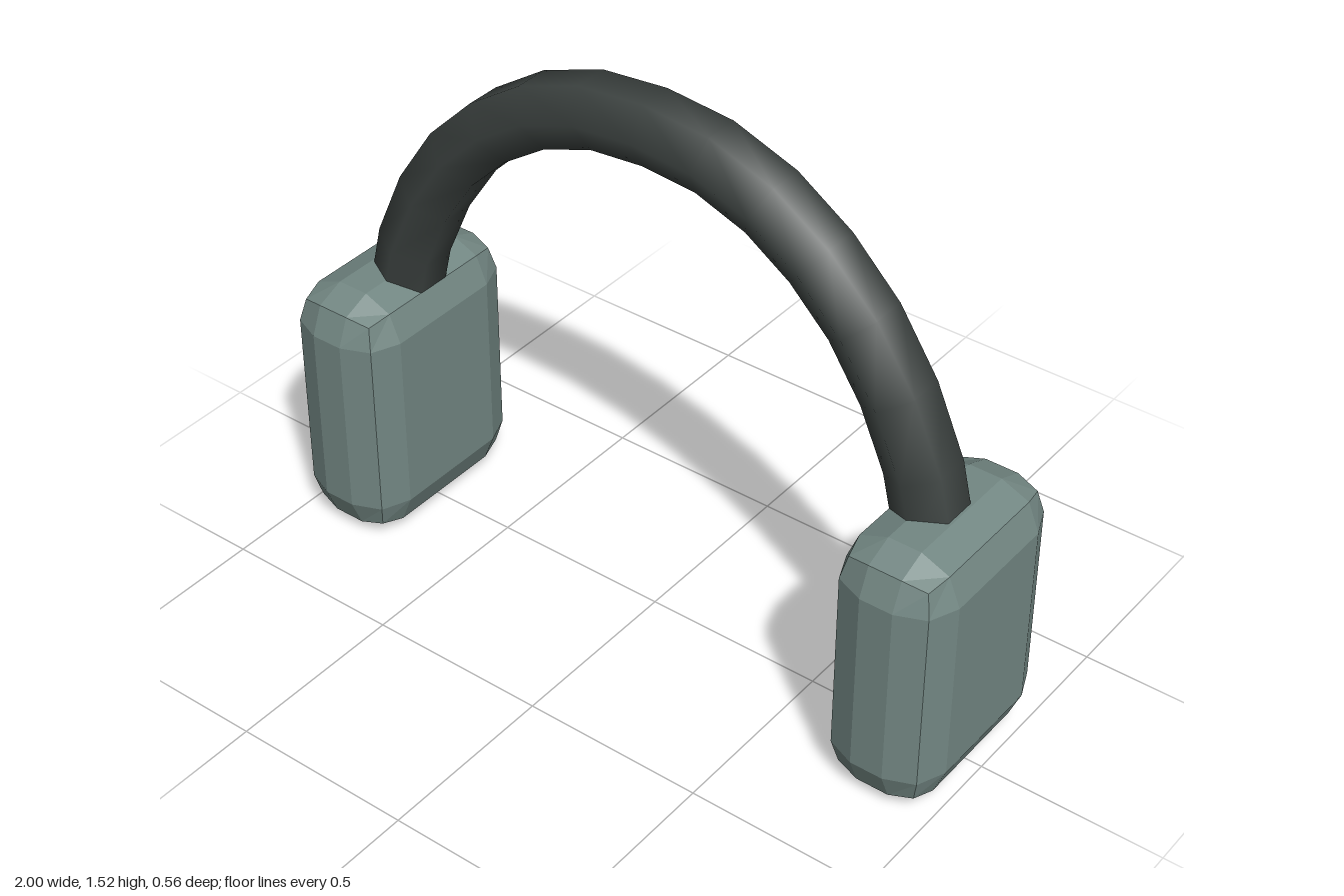
import * as THREE from 'three';
import { RoundedBoxGeometry } from 'three/addons/geometries/RoundedBoxGeometry.js';

export function createModel() {
  const model = new THREE.Group();
  model.name = 'headphones';
  const cupMaterial = new THREE.MeshStandardMaterial({ color: 0x738783, flatShading: true });
  const bandMaterial = new THREE.MeshStandardMaterial({ color: 0x3c4240, side: THREE.DoubleSide });

  // Ear cups: chamfered blocks, one on each side
  const cupGeometry = new RoundedBoxGeometry(0.31, 0.73, 0.56, 1, 0.11);
  for (const [name, side] of [['leftEarCup', 1], ['rightEarCup', -1]]) {
    const cup = new THREE.Mesh(cupGeometry, cupMaterial);
    cup.name = name;
    cup.position.set(side * 0.845, 0.365, 0);
    model.add(cup);
  }

  // Headband: half of the arch from the crown down into a cup, then mirrored
  const half = [
    [0, 1.4375], [0.171, 1.422], [0.332, 1.364], [0.473, 1.27], [0.597, 1.147],
    [0.7, 0.992], [0.778, 0.816], [0.822, 0.63], [0.84, 0.44],
  ];
  const points = [
    ...half.slice(1).reverse().map(([x, y]) => new THREE.Vector3(-x, y, 0)),
    ...half.map(([x, y]) => new THREE.Vector3(x, y, 0)),
  ];
  const arch = new THREE.CatmullRomCurve3(points, false, 'catmullrom', 0.5);
  // One ring of the six-sided tube on each arch point
  arch.getPointAt = arch.getPoint;
  arch.getTangentAt = arch.getTangent;
  const band = new THREE.Mesh(
    new THREE.TubeGeometry(arch, points.length - 1, 0.095, 6, false), bandMaterial);
  band.name = 'headband';
  model.add(band);

  return model;
}
